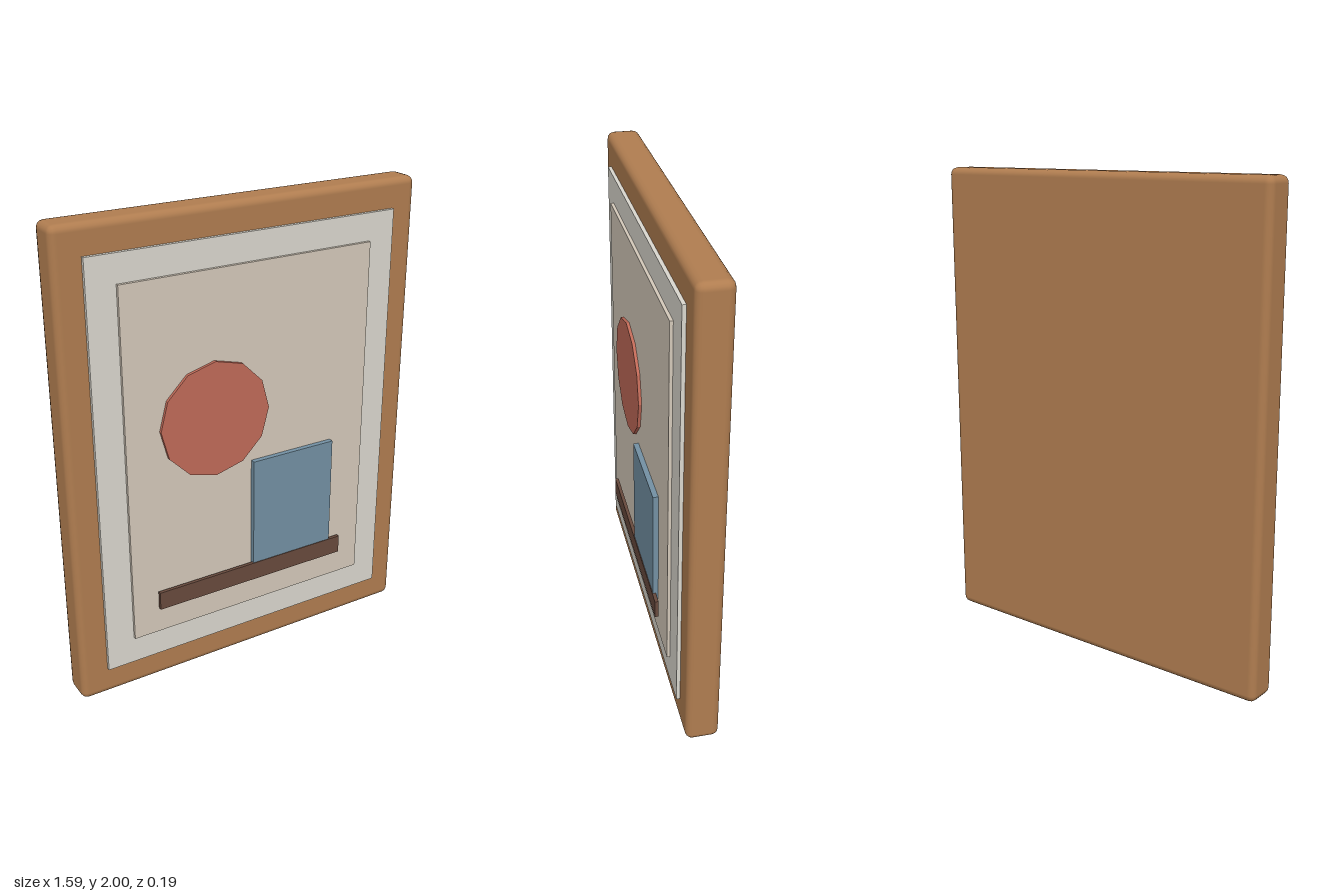
import * as THREE from 'three';
import { RoundedBoxGeometry } from 'three/addons/geometries/RoundedBoxGeometry.js';

export function createModel() {
  const model = new THREE.Group();
  model.name = 'framedPicture';

  function add(name, geometry, color, x, y, z) {
    const mesh = new THREE.Mesh(geometry, new THREE.MeshStandardMaterial({ color }));
    mesh.name = name;
    mesh.position.set(x, y, z);
    model.add(mesh);
    return mesh;
  }

  // Flat panel given by its edges
  function panel(name, color, x0, x1, y0, y1, z0, z1) {
    const geometry = new THREE.BoxGeometry(x1 - x0, y1 - y0, z1 - z0);
    return add(name, geometry, color, (x0 + x1) / 2, (y0 + y1) / 2, (z0 + z1) / 2);
  }

  // Wooden frame with softened edges
  add('frame', new RoundedBoxGeometry(1.59, 2, 0.137, 2, 0.03), 0xb07d50, 0, 1, -0.0265);

  // Layered mat and paper
  panel('mat', 0xdad7ce, -0.68, 0.68, 0.125, 1.88, 0.03, 0.057);
  panel('paper', 0xd4c9ba, -0.56, 0.56, 0.245, 1.765, 0.045, 0.07);

  // Raised artwork shapes
  const disc = new THREE.CylinderGeometry(0.245, 0.245, 0.015, 12).toNonIndexed();
  disc.computeVertexNormals();
  disc.rotateX(Math.PI / 2);
  add('sunDisc', disc, 0xc06a58, -0.17, 1.155, 0.0755);
  panel('blueBlock', 0x7390a3, 0.0, 0.392, 0.4, 0.927, 0.07, 0.092);
  panel('baseBar', 0x684a3d, -0.45, 0.445, 0.365, 0.445, 0.08, 0.095);

  return model;
}
